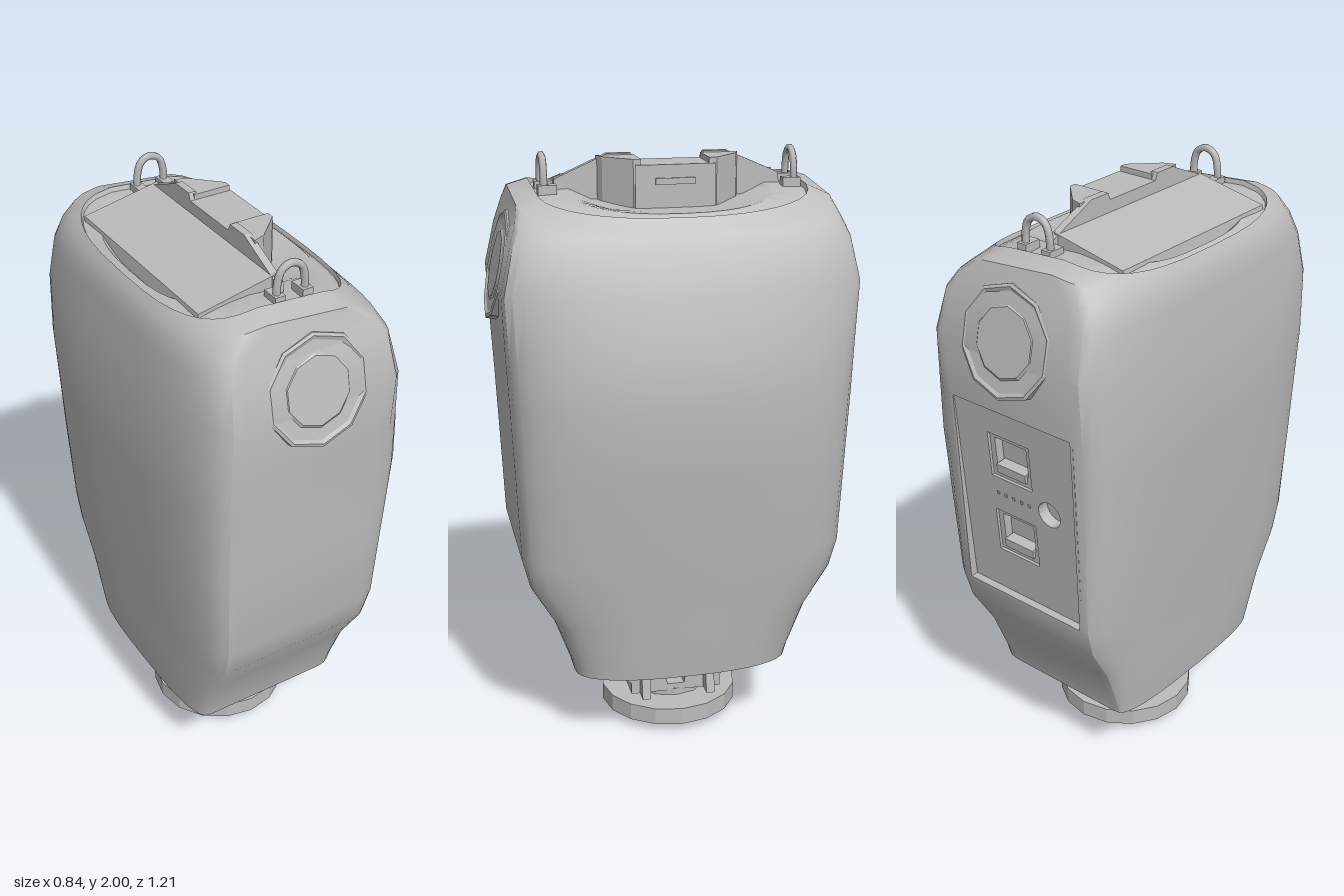
import * as THREE from 'three';
import { toCreasedNormals } from 'three/addons/utils/BufferGeometryUtils.js';

const grey = new THREE.MeshStandardMaterial({ color: 0xbcbcbc });
grey.name = 'plain grey';

const CX = -0.03; // axis shared by foot, lamps and hooks
const ARC = 9;

// Outline with flat front and back (pl..pr) and bulging sides (xl, xr)
function section(xl, xr, pl, pr, zf) {
  const pts = [];
  const side = (from, to, dir, p) => {
    for (let i = 0; i <= 2 * ARC; i++) {
      const t = (i / (2 * ARC)) * Math.PI, c = Math.cos(t);
      const s = Math.max(0, Math.sin(t));
      pts.push([from + (to - from) * (i === 2 * ARC ? 0 : s ** p), dir * zf * Math.sign(c) * Math.abs(c) ** p]);
    }
  };
  side(pr, xr, 1, 0.82);
  side(pl, xl, -1, 0.68);
  return pts;
}

// Joins rings of equal length, lowest first, and closes both ends;
// skip(row, i) leaves a quad open
function loft(rings, crease, skip) {
  const pos = [], index = [], n = rings[0].length;
  rings.forEach(r => r.forEach(p => pos.push(...p)));
  for (let k = 0; k < rings.length - 1; k++) {
    for (let i = 0; i < n; i++) {
      if (skip(k, i)) continue;
      const a = k * n + i, b = k * n + (i + 1) % n;
      index.push(a, b, b + n, a, b + n, a + n);
    }
  }
  [0, rings.length - 1].forEach((k, end) => {
    const c = pos.length / 3;
    pos.push(...[0, 1, 2].map(j => rings[k].reduce((s, p) => s + p[j], 0) / n));
    for (let i = 0; i < n; i++) {
      const a = k * n + i, b = k * n + (i + 1) % n;
      if (end) index.push(c, a, b); else index.push(c, b, a);
    }
  });
  const g = new THREE.BufferGeometry();
  g.setAttribute('position', new THREE.Float32BufferAttribute(pos, 3));
  g.setIndex(index);
  return toCreasedNormals(g, crease);
}

function shapeOf(pts, holes = []) {
  const v = list => list.map(p => new THREE.Vector2(...p));
  const s = new THREE.Shape(v(pts));
  holes.forEach(h => s.holes.push(new THREE.Path(v(h))));
  return s;
}

const extrude = (shape, depth) =>
  new THREE.ExtrudeGeometry(shape, { depth, bevelEnabled: false, curveSegments: 10 });

// Plan outline (x, z) raised from y0 to y1
const raise = (pts, y0, y1) =>
  extrude(shapeOf(pts.map(([x, z]) => [x, -z])), y1 - y0).rotateX(-Math.PI / 2).translate(0, y0, 0);

// Side outline (-z, y) run from x0 to x1
const across = (pts, x0, x1, holes) =>
  extrude(shapeOf(pts, holes), x1 - x0).rotateY(Math.PI / 2).translate(x0, 0, 0);

const mirrored = half => [...half, ...half.map(([a, b]) => [-a, b]).reverse()];
const rect = (x, y, w, h) => [[x - w / 2, y - h / 2], [x + w / 2, y - h / 2], [x + w / 2, y + h / 2], [x - w / 2, y + h / 2]];

export function createModel() {
  const model = new THREE.Group();
  const add = (name, geometry, parent = model) => {
    const m = new THREE.Mesh(geometry, grey);
    m.name = name;
    parent.add(m);
    return m;
  };

  // Shell: y, xl, xr, pl, pr, zf, crown; from the hollow underside up to the dished top deck
  const rows = [
    [0.36, -0.31, 0.27, -0.25, 0.14, 0.34, 0],
    [0.27, -0.32, 0.275, -0.26, 0.15, 0.345, 0],
    [0.265, -0.345, 0.30, -0.28, 0.165, 0.37, 0],
    [0.30, -0.35, 0.305, -0.28, 0.167, 0.378, 0],
    [0.46, -0.36, 0.325, -0.28, 0.18, 0.435, 0],
    [0.60, -0.37, 0.343, -0.28, 0.195, 0.515, 0],
    [0.70, -0.378, 0.357, -0.28, 0.20, 0.54, 0],
    [1.00, -0.40, 0.393, -0.28, 0.20, 0.552, 0],
    [1.24, -0.412, 0.418, -0.28, 0.20, 0.562, 0],
    [1.40, -0.42, 0.40, -0.28, 0.20, 0.57, 0],
    [1.60, -0.408, 0.35, -0.28, 0.22, 0.578, 0],
    [1.74, -0.393, 0.298, -0.27, 0.21, 0.546, 0],
    [1.83, -0.385, 0.28, -0.23, 0.17, 0.523, 0.4],
    [1.88, -0.372, 0.262, -0.17, 0.10, 0.508, 0.7],
    [1.90, -0.355, 0.238, -0.16, 0.06, 0.44, 0.7],
    [1.885, -0.35, 0.233, -0.16, 0.06, 0.435, 0.7],
    [1.885, -0.33, 0.21, -0.13, 0.04, 0.325, 0.6],
    [1.845, -0.31, 0.13, -0.10, 0.02, 0.25, 0.4],
  ];
  add('bodyShell', loft(
    rows.map(([y, xl, xr, pl, pr, zf, c]) =>
      section(xl, xr, pl, pr, zf).map(([x, z]) => [x, y - c * (x + 0.1) ** 2, z])),
    0.5,
    (k, i) => k >= 6 && k <= 8 && i === 2 * ARC)); // opening for the rear plate

  // Sloping cover and the ridge beside it
  add('slopingCover', extrude(shapeOf([[-0.31, 1.80], [-0.04, 1.80], [-0.04, 1.925], [-0.30, 1.872]]), 0.70).translate(0, 0, -0.35));
  add('ridge', across(mirrored([[0.38, 1.84], [0.37, 1.91], [0.22, 1.975], [0.20, 1.985], [0.12, 1.985], [0.11, 1.962]]), -0.055, -0.03));

  // Handle: low middle and two taller ends
  add('handleMiddle', raise([[-0.04, 0.13], [0.09, 0.13], [0.09, -0.13], [-0.04, -0.13]], 1.80, 1.962));
  for (const s of [1, -1]) {
    add('handleEnd', raise([[-0.04, 0.11 * s], [0.085, 0.11 * s], [0.085, 0.135 * s], [0.0, 0.22 * s], [-0.04, 0.235 * s]], 1.80, 1.98));
  }
  add('handleSlot', new THREE.BoxGeometry(0.008, 0.02, 0.13).translate(0.092, 1.91, 0));

  // Lifting hooks with their feet
  for (const s of [1, -1]) {
    const hook = new THREE.Group();
    hook.name = 'liftingHook';
    hook.position.set(CX, 0, 0.41 * s);
    model.add(hook);
    const path = new THREE.CatmullRomCurve3([[-0.047, 1.86], [-0.047, 1.93], [-0.033, 1.972], [0, 1.988], [0.033, 1.972], [0.047, 1.93], [0.047, 1.86]]
      .map(([x, y]) => new THREE.Vector3(x, y, 0)));
    add('hookLoop', new THREE.TubeGeometry(path, 20, 0.012, 6), hook);
    for (const x of [-0.047, 0.047]) add('hookFoot', new THREE.BoxGeometry(0.035, 0.05, 0.06).translate(x, 1.875, -0.01 * s), hook);
  }

  // Round lamps, nearly flush with the leaning front and back
  const lampProfile = [[0.18, -0.05], [0.18, 0], [0.17, 0.004], [0.158, -0.002], [0.118, -0.002], [0.11, 0.004], [0, 0.004]]
    .map(p => new THREE.Vector2(...p));
  for (const s of [1, -1]) {
    const lamp = add('roundLamp', toCreasedNormals(new THREE.LatheGeometry(lampProfile, 10), 0.2));
    lamp.position.set(CX, 1.645, 0.566 * s);
    lamp.rotation.x = s * (Math.PI / 2 - 0.22);
  }

  // Rear service recess: side walls and bottom ledge
  for (const x of [-0.29, 0.2]) {
    add('recessWall', across([[0.48, 0.70], [0.538, 0.70], [0.569, 1.40], [0.54, 1.40]], x, x + 0.01));
  }
  add('recessLedge', new THREE.BoxGeometry(0.48, 0.01, 0.05).translate(-0.04, 0.696, -0.513));

  // Sunken plate with two sockets and a round port
  const rear = new THREE.Group();
  rear.name = 'rearPlate';
  rear.position.set(0, 1.05, -0.5375);
  rear.rotation.set(0.078, Math.PI, 0, 'YXZ');
  model.add(rear);
  const plate = shapeOf(rect(0.04, 0, 0.485, 0.71),
    [rect(0.015, 0.18, 0.17, 0.16), rect(0.015, -0.11, 0.17, 0.16)]);
  plate.holes.push(new THREE.Path().absarc(0.165, 0.04, 0.045, 0, Math.PI * 2, true));
  add('plate', extrude(plate, 0.04).translate(0, 0, -0.04), rear);
  add('backing', new THREE.BoxGeometry(0.4, 0.6, 0.01).translate(0.04, 0, -0.045), rear);
  for (const y of [0.18, -0.11]) {
    const frame = shapeOf(rect(0.015, y, 0.17, 0.16), [rect(0.015, y + 0.012, 0.13, 0.10)]);
    add('socketFrame', extrude(frame, 0.03).translate(0, 0, -0.04), rear);
    add('socketTongue', new THREE.BoxGeometry(0.12, 0.03, 0.04).translate(0.015, y - 0.045, -0.02), rear);
  }
  for (let i = 0; i < 5; i++) add('indicator', new THREE.BoxGeometry(0.01, 0.01, 0.004).translate(-0.05 + i * 0.033, 0.04, 0.001), rear);

  // Neck under the hollow bottom: braced block with a see-through gap
  const gap = [[-0.03, 0.135], [0.03, 0.135], [0.04, 0.20], [-0.04, 0.20]];
  add('neckBlock', across(mirrored([[0.13, 0.11], [0.13, 0.38]]), -0.16, 0.08, [gap]));
  for (const x of [-0.185, 0.075]) {
    add('neckBrace', across(mirrored([[0.16, 0.11], [0.16, 0.15], [0.27, 0.27], [0.27, 0.37]]), x, x + 0.03, [gap]));
  }
  add('neckFrontPlate', across([[-0.16, 0.11], [-0.16, 0.15], [-0.27, 0.27], [-0.27, 0.29], [-0.13, 0.15], [-0.13, 0.11]], -0.16, 0.08));
  for (const z of [-0.13, 0.10]) {
    add('neckGusset', extrude(shapeOf([[0.07, 0.11], [0.155, 0.11], [0.11, 0.37], [0.07, 0.37]]), 0.03).translate(0, 0, z));
  }

  // Foot disc and hub
  const cyl = (r, y0, y1, n) => new THREE.CylinderGeometry(r, r, y1 - y0, n).toNonIndexed().translate(CX, (y0 + y1) / 2, 0);
  const disc = cyl(0.24, 0.03, 0.09, 16), hub = cyl(0.138, 0, 0.115, 12);
  disc.computeVertexNormals();
  hub.computeVertexNormals();
  add('footDisc', disc);
  add('footHub', hub);

  return model;
}
